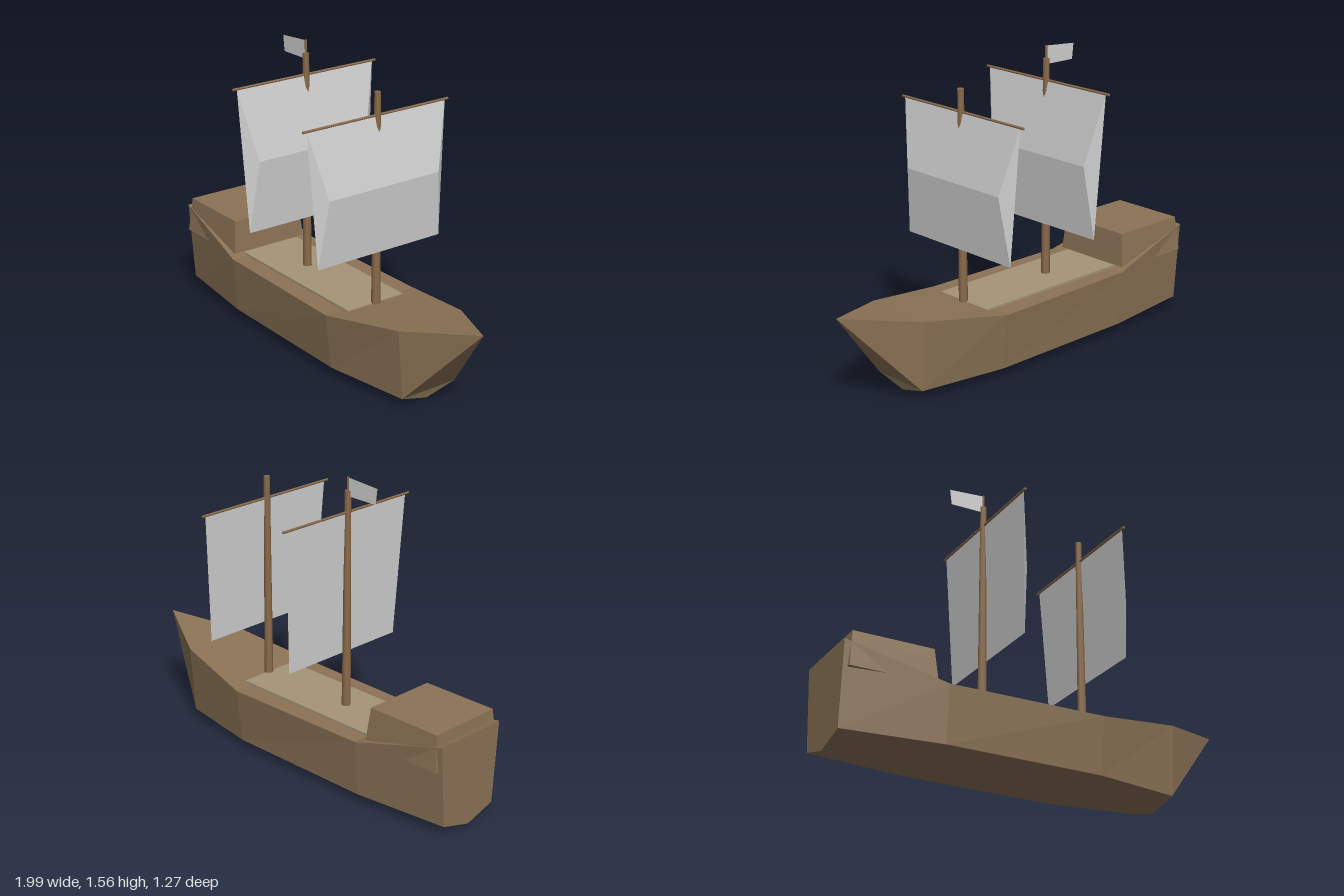
import * as THREE from 'three';

const mat = (name, color) => {
  const m = new THREE.MeshStandardMaterial({ color });
  m.name = name;
  return m;
};

// Flat-shaded solid from corner points and convex faces
function solid(points, faces) {
  const pos = [];
  for (const f of faces)
    for (let i = 1; i < f.length - 1; i++)
      for (const k of [f[0], f[i], f[i + 1]]) pos.push(...points[k]);
  const g = new THREE.BufferGeometry();
  g.setAttribute('position', new THREE.Float32BufferAttribute(pos, 3));
  g.computeVertexNormals();
  return g;
}

// Hull: five-point sections (keel, chine, gunwale, gunwale, chine) closed by a pointed bow
function hullGeometry() {
  const stations = [ // keel x, x, gunwale y, gunwale half width, chine half width
    [-1.005, -1.003, 0.48, 0.207, 0.176],
    [-0.49, -0.49, 0.345, 0.257, 0.235],
    [0.345, 0.345, 0.345, 0.273, 0.238],
    [0.79, 0.805, 0.415, 0.192, 0.164],
  ];
  const pts = [], faces = [];
  for (const [kx, x, y, w, c] of stations)
    pts.push([kx, 0, 0], [x, 0.05, c], [x, y, w], [x, y, -w], [x, 0.05, -c]);
  for (let i = 0; i < stations.length - 1; i++)
    for (let j = 0; j < 5; j++) {
      const a = i * 5 + j, b = i * 5 + (j + 1) % 5;
      faces.push([a, a + 5, b + 5, b]);
    }
  faces.push([0, 1, 2, 3, 4]); // transom
  const tip = pts.push([1.176, 0.48, 0]) - 1;
  faces.push([16, tip, 17], [17, tip, 18], [18, tip, 19], [19, tip, 16], [19, 16, 15]);
  return solid(pts, faces);
}

// Billowed sail: flat back, front folded forward at mid height
function sailGeometry(top, mid) {
  const pts = [];
  for (const [x, y, w] of [[0.002, top, 0.413], [0.066, mid, 0.33], [0.028, 0.635, 0.371]])
    pts.push([x, y, -w], [x, y, w]);
  return solid(pts, [[2, 0, 1, 3], [4, 2, 3, 5], [4, 5, 1, 0], [1, 5, 3], [0, 2, 4]]);
}

export function createModel() {
  const wood = mat('hull wood', 0x8b7355);
  const planks = mat('deck planks', 0xa59578);
  const spar = mat('spar wood', 0x8b6b4a);
  const cloth = mat('sail cloth', 0xd2d2d2);
  const flagCloth = mat('flag cloth', 0xd2d2d2);
  flagCloth.side = THREE.DoubleSide;

  const ship = new THREE.Group();
  ship.name = 'ship';
  const add = (name, geo, material, x = 0, y = 0, z = 0, parent = ship) => {
    const m = new THREE.Mesh(geo, material);
    m.name = name;
    m.position.set(x, y, z);
    parent.add(m);
    return m;
  };

  add('hull', hullGeometry(), wood);
  add('deck', new THREE.BoxGeometry(0.91, 0.012, 0.34), planks, -0.065, 0.351, 0);

  // Stern cabin, slightly tapered towards the roof
  const cabin = new THREE.BoxGeometry(0.453, 0.185, 0.446);
  const p = cabin.attributes.position;
  for (let i = 0; i < p.count; i++)
    if (p.getY(i) > 0) {
      p.setX(i, p.getX(i) * 0.925);
      p.setZ(i, p.getZ(i) * 0.91);
    }
  cabin.computeVertexNormals();
  add('sternCabin', cabin, wood, -0.754, 0.4375, 0);

  // Masts with yard and sail
  const rigs = [
    { name: 'fore', x: 0.39, top: 1.44, yard: 1.325, mid: 0.985 },
    { name: 'main', x: -0.182, top: 1.495, yard: 1.385, mid: 1.015 },
  ];
  for (const r of rigs) {
    const rig = new THREE.Group();
    rig.name = r.name + 'Rig';
    rig.position.x = r.x;
    ship.add(rig);
    const h = r.top - 0.34;
    add(r.name + 'Mast', new THREE.CylinderGeometry(0.016, 0.023, h, 8), spar, 0, 0.34 + h / 2, 0, rig);
    const yard = add(r.name + 'Yard', new THREE.CylinderGeometry(0.007, 0.007, 0.867, 6), spar, 0, r.yard, 0, rig);
    yard.rotation.x = Math.PI / 2;
    add(r.name + 'Sail', sailGeometry(r.yard, r.mid), cloth, 0, 0, 0, rig);
  }

  // Flag streaming aft from a short pole
  add('flagPole', new THREE.CylinderGeometry(0.006, 0.006, 0.08, 6), spar, -0.182, 1.522, 0);
  const flag = solid(
    [[-0.182, 1.56, 0], [-0.182, 1.465, 0], [-0.365, 1.463, 0], [-0.375, 1.545, 0]],
    [[0, 3, 2, 1]]);
  add('flag', flag, flagCloth);

  // The ship lies at an angle to the front
  ship.rotation.y = -Math.PI / 6;
  ship.position.set(-0.0285, 0, 0.049);
  const model = new THREE.Group();
  model.name = 'sailingShip';
  model.add(ship);
  return model;
}
